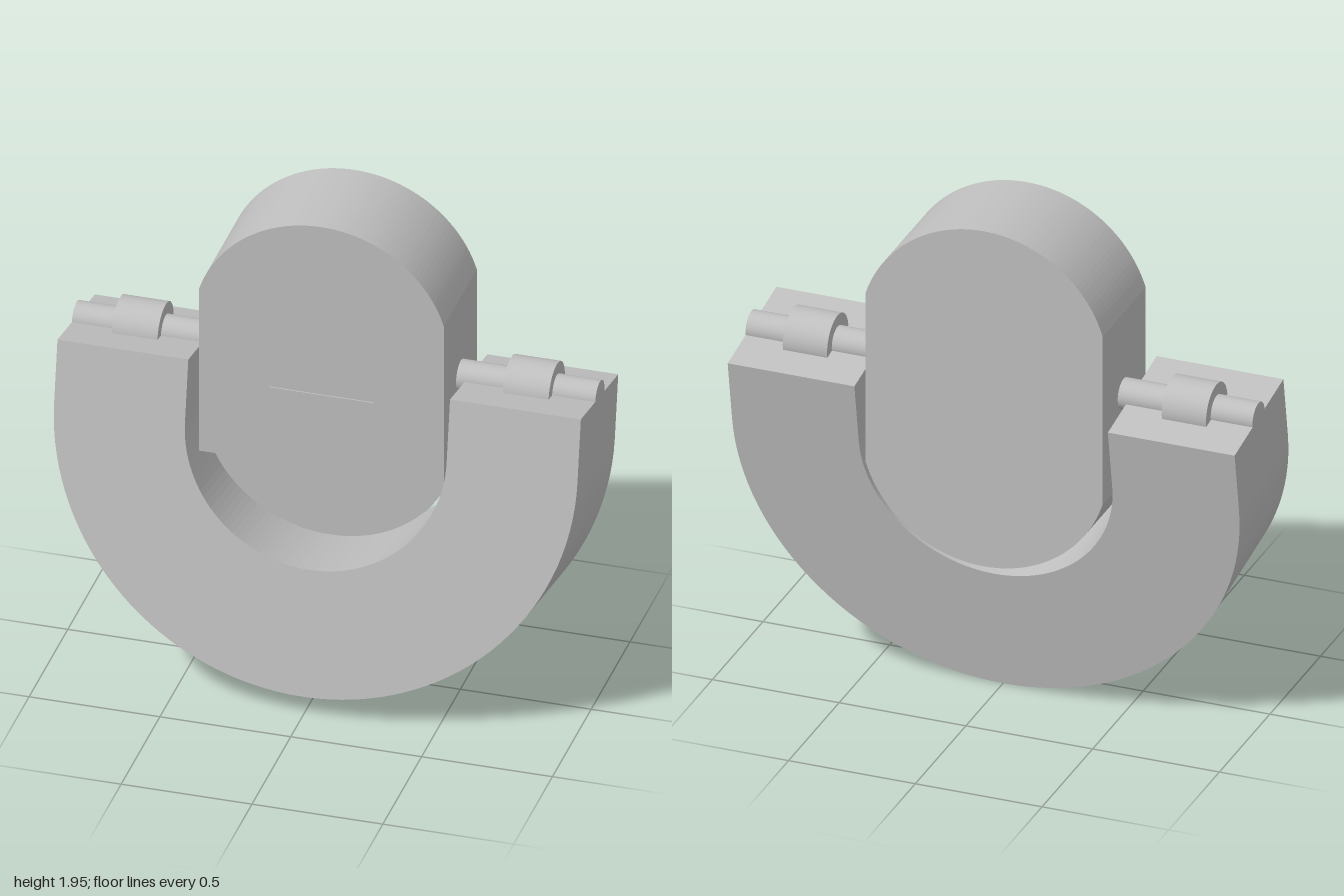
import * as THREE from 'three';

export function createModel() {
  const model = new THREE.Group();
  const grey = new THREE.MeshStandardMaterial({ color: 0xbfbfbf });
  grey.name = 'plain grey';

  const add = (name, geometry, parent = model) => {
    const mesh = new THREE.Mesh(geometry, grey);
    mesh.name = name;
    parent.add(mesh);
    return mesh;
  };
  const extrude = (shape, depth, curveSegments = 32) =>
    new THREE.ExtrudeGeometry(shape, { depth, curveSegments, bevelEnabled: false });

  // Tilted U-shaped cradle
  const u = new THREE.Shape();
  u.moveTo(-1, 1.25);
  u.lineTo(-1, 1);
  u.absarc(0, 1, 1, Math.PI, 2 * Math.PI, false);
  u.lineTo(1, 1.25);
  u.lineTo(0.5, 1.25);
  u.lineTo(0.5, 1);
  u.absarc(0, 1, 0.5, 2 * Math.PI, Math.PI, true);
  u.lineTo(-0.5, 1.25);
  u.closePath();
  const cradle = add('cradle', extrude(u, 0.49));
  cradle.rotation.x = -THREE.MathUtils.degToRad(10);
  cradle.position.set(0, 0.004, -0.132);

  // Upright block with arched ends; its front layer stops above the cradle
  const R = 0.49, halfW = 0.468, topY = 1.465, lowY = 1.065;
  const a = Math.acos(halfW / R);
  const sag = R * Math.sin(a);
  const blockShape = (roundBottom) => {
    const s = new THREE.Shape();
    s.moveTo(halfW, lowY - sag);
    s.lineTo(halfW, topY + sag);
    s.absarc(0, topY, R, a, Math.PI - a, false);
    s.lineTo(-halfW, lowY - sag);
    if (roundBottom) s.absarc(0, lowY, R, Math.PI + a, 2 * Math.PI - a, false);
    s.closePath();
    return s;
  };
  const block = new THREE.Group();
  block.name = 'block';
  model.add(block);
  add('blockBody', extrude(blockShape(true), 0.31), block).position.z = -0.32;
  add('blockFront', extrude(blockShape(false), 0.115), block).position.z = -0.01;

  // Thin plate on the block front
  add('frontPlate', new THREE.BoxGeometry(0.4, 0.2, 0.008), block).position.set(0, 1.14, 0.106);

  // Hinge pins and collars on both sides
  for (const side of [1, -1]) {
    const hinge = new THREE.Group();
    hinge.name = side > 0 ? 'leftHinge' : 'rightHinge';
    hinge.position.set(0, 1.279, -0.112);
    model.add(hinge);
    const rod = (name, radius, from, to) => {
      const mesh = add(name, new THREE.CylinderGeometry(radius, radius, to - from, 32), hinge);
      mesh.rotation.z = Math.PI / 2;
      mesh.position.x = side * (from + to) / 2;
    };
    rod('pin', 0.06, 0.44, 1);
    rod('collar', 0.106, 0.66, 0.835);
  }
  return model;
}
